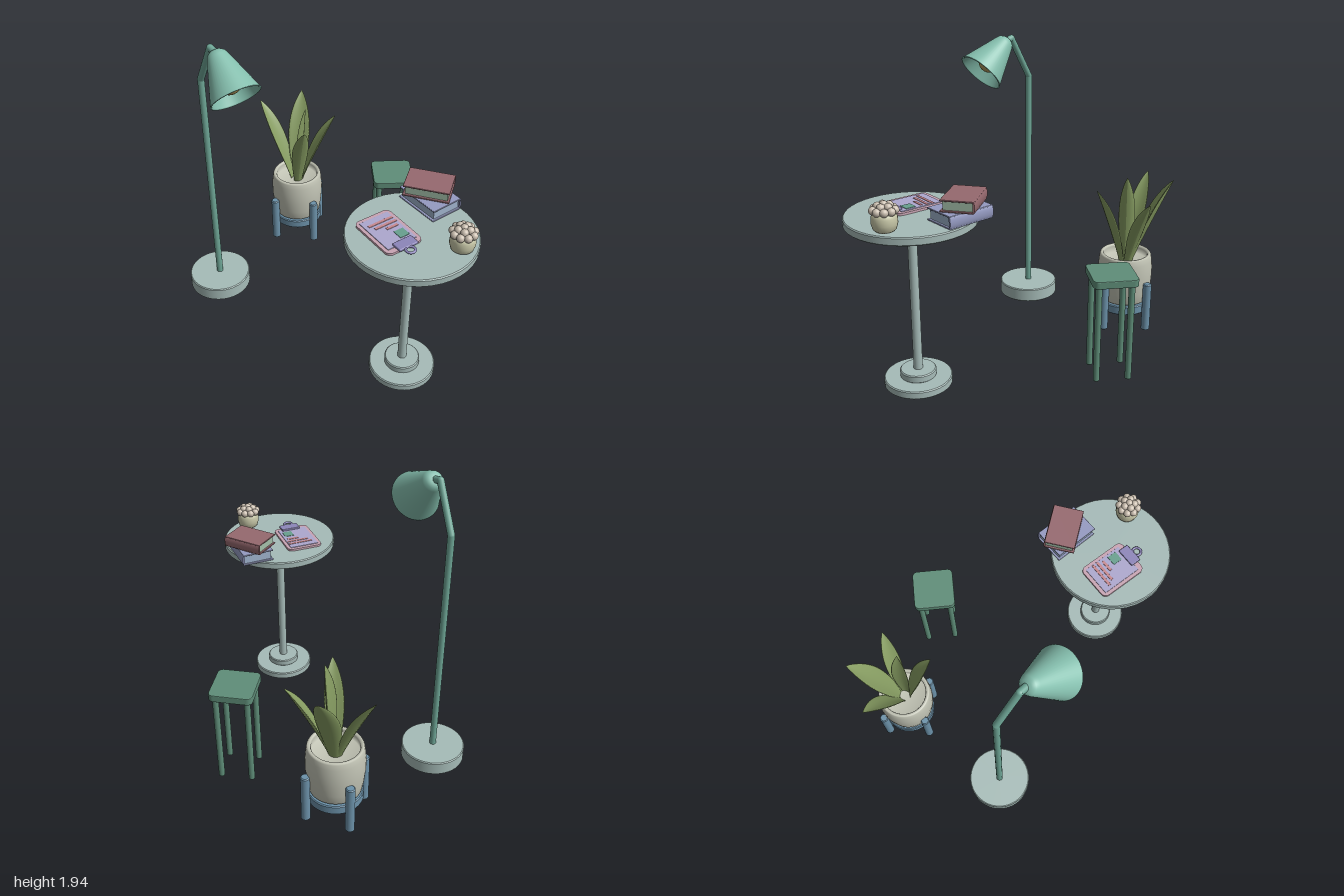
import * as THREE from 'three';
import { RoundedBoxGeometry } from 'three/addons/geometries/RoundedBoxGeometry.js';

const V = (x, y, z) => new THREE.Vector3(x, y, z);
const UP = V(0, 1, 0);

function add(parent, name, geometry, color, pos = [0, 0, 0], side = THREE.FrontSide) {
  const mesh = new THREE.Mesh(geometry, new THREE.MeshStandardMaterial({ color, side }));
  mesh.name = name;
  mesh.position.set(...pos);
  parent.add(mesh);
  return mesh;
}

function group(parent, name, x, y, z, turn = 0) {
  const g = new THREE.Group();
  g.name = name;
  g.position.set(x, y, z);
  g.rotation.y = turn;
  parent.add(g);
  return g;
}

// Upright disc or post from y0 to y1, with a slightly eased rim
function disc(parent, name, r, y0, y1, color, x = 0, z = 0) {
  const h = y1 - y0, b = Math.min(0.006, h / 4, r / 4);
  const pts = [[0, 0], [r - b, 0], [r - b, 0], [r, b], [r, b], [r, h - b], [r, h - b], [r - b, h], [r - b, h], [0, h]];
  return add(parent, name, lathe(pts, 40), color, [x, y0, z]);
}

function lathe(pts, sides = 40) {
  return new THREE.LatheGeometry(pts.map(p => new THREE.Vector2(...p)), sides);
}

// Round rod between two points
function rod(parent, name, a, b, r, color) {
  const m = add(parent, name, new THREE.CylinderGeometry(r, r, a.distanceTo(b), 20), color);
  m.position.copy(a).lerp(b, 0.5);
  m.quaternion.setFromUnitVectors(UP, b.clone().sub(a).normalize());
  return m;
}

function floorLamp(root) {
  const lamp = group(root, 'floorLamp', -0.757, 0, -0.018);
  const teal = 0x6fa797;
  disc(lamp, 'lampBase', 0.208, 0, 0.095, 0xa6bcb8);
  const elbow = V(0, 1.64, 0), top = V(0.108, 1.915, 0.115), neck = V(0.15, 1.9, 0.15), mouth = V(0.288, 1.712, 0.31);
  rod(lamp, 'lampPole', V(0, 0.09, 0), elbow, 0.022, teal);
  rod(lamp, 'lampArm', elbow, top, 0.022, teal);
  rod(lamp, 'lampNeck', top, neck, 0.022, teal);
  for (const p of [elbow, top]) add(lamp, 'lampJoint', new THREE.SphereGeometry(0.022, 20, 12), teal, p.toArray());

  // Shade: double-walled cone hung along the neck-to-mouth axis
  const axis = mouth.clone().sub(neck), len = axis.length();
  const shade = group(lamp, 'lampShade', ...neck.toArray());
  shade.quaternion.setFromUnitVectors(UP, axis.clone().normalize());
  const skin = [[0, -0.018], [0.035, -0.014], [0.055, 0.002], [0.066, 0.025], [0.154, len - 0.005], [0.157, len],
    [0.15, len + 0.002], [0.144, len - 0.005], [0.058, 0.035], [0, 0.025]];
  add(shade, 'shadeShell', lathe(skin, 48), 0x85bfae, [0, 0, 0], THREE.DoubleSide);
  add(shade, 'bulb', new THREE.SphereGeometry(0.072, 28, 18), 0xb09a5c, [0, 0.185, 0]);
  add(shade, 'bulbSocket', new THREE.CylinderGeometry(0.035, 0.035, 0.12, 20), 0x85bfae, [0, 0.08, 0]);
}

// Channelled leaf: a tube flattened, tapered and swept along a curve
function leaf(parent, base, tip, out, width) {
  const ctrl = base.clone().lerp(tip, 0.55).addScaledVector(out, -0.025).add(V(0, 0.04, 0));
  const curve = new THREE.QuadraticBezierCurve3(base, ctrl, tip);
  const across = UP.clone().cross(out).normalize();
  const geo = new THREE.CylinderGeometry(1, 1, 1, 16, 24, true);
  const p = geo.attributes.position;
  for (let i = 0; i < p.count; i++) {
    const t = p.getY(i) + 0.5;
    const w = 0.5 * width * Math.pow(Math.max(0, Math.sin(Math.PI * (0.14 + 0.86 * Math.pow(t, 1.25)))), 0.85);
    const normal = across.clone().cross(curve.getTangent(t)).normalize();
    const x = p.getX(i);
    const v = curve.getPoint(t).addScaledVector(across, x * w).addScaledVector(normal, w * (0.2 * p.getZ(i) - 0.35 * x * x));
    p.setXYZ(i, v.x, v.y, v.z);
  }
  geo.computeVertexNormals();
  add(parent, 'leaf', geo, 0x879d62, [0, 0, 0], THREE.DoubleSide);
}

function pottedPlant(root) {
  const plant = group(root, 'pottedPlant', -0.303, 0, -0.7);
  const blue = 0x6c92aa;
  disc(plant, 'standPlate', 0.176, 0.115, 0.178, blue);
  for (const sx of [-1, 1]) for (const sz of [-1, 1])
    disc(plant, 'standLeg', 0.029, 0, 0.34, blue, sx * 0.142, sz * 0.143);
  const pot = [[0, 0.178], [0.15, 0.178], [0.164, 0.19], [0.176, 0.26], [0.184, 0.34], [0.185, 0.41], [0.18, 0.47], [0.174, 0.505],
    [0.167, 0.515], [0.152, 0.513], [0.147, 0.5], [0.15, 0.455], [0, 0.455]];
  add(plant, 'pot', lathe(pot, 48), 0xc3c5b6, [0, 0, 0], THREE.DoubleSide);
  // Tip x, y, z and width of each leaf
  const tips = [[0, 1.035, -0.3, 0.155], [-0.285, 1.012, -0.16, 0.12], [0.27, 0.948, -0.12, 0.11],
    [0.095, 0.985, 0.215, 0.12], [0.075, 1.07, 0.015, 0.11]];
  for (const [x, y, z, w] of tips) {
    const out = V(x, 0, z).normalize();
    leaf(plant, out.clone().multiplyScalar(0.035).setY(0.44), V(x, y, z), out, w);
  }
}

function stool(root) {
  const g = group(root, 'stool', 0.405, 0, -0.556, 0.175);
  const green = 0x5f8e79;
  const s = new THREE.Shape(), h = 0.134, r = 0.03;
  s.moveTo(-h + r, -h);
  for (const [cx, cy, a] of [[1, -1, -0.5], [1, 1, 0], [-1, 1, 0.5], [-1, -1, 1]])
    s.absarc(cx * (h - r), cy * (h - r), r, a * Math.PI, (a + 0.5) * Math.PI, false);
  const seat = new THREE.ExtrudeGeometry(s, { depth: 0.038, bevelThickness: 0.005, bevelSize: 0.005, bevelSegments: 2, curveSegments: 6 });
  seat.rotateX(-Math.PI / 2);
  add(g, 'stoolSeat', seat, green, [0, 0.636, 0]);
  for (const sx of [-1, 1]) for (const sz of [-1, 1])
    disc(g, 'stoolLeg', 0.02, 0, 0.635, green, sx * 0.1, sz * 0.1);
}

// Book with two covers, recessed pages and a rounded spine at the back
function book(parent, name, x, y, z, turn, w, d, h, cover, pages) {
  const g = group(parent, name, x, y, z, turn);
  const t = 0.01;
  for (const cy of [t / 2, h - t / 2])
    add(g, 'bookCover', new RoundedBoxGeometry(w, t, d, 2, 0.004), cover, [0, cy, 0]);
  add(g, 'pages', new THREE.BoxGeometry(w - 0.025, h - 2 * t, d - 0.02), pages, [0, h / 2, -0.004]);
  const spine = new THREE.CylinderGeometry(h / 2, h / 2, w, 20, 1, false, Math.PI / 2, Math.PI);
  spine.rotateZ(Math.PI / 2);
  spine.rotateX(spineTurn(spine));
  spine.scale(1, 1, 0.35);
  add(g, 'bookSpine', spine, cover, [0, h / 2, -d / 2 + 0.008], THREE.DoubleSide);
}

// Angle that swings a half-round spine so its bulge faces -z
function spineTurn(geo) {
  geo.computeBoundingBox();
  const c = geo.boundingBox.getCenter(V(0, 0, 0));
  return Math.PI - Math.atan2(-c.y, c.z);
}

function clipboard(parent) {
  const g = group(parent, 'clipboard', -0.133, 1.1, 0.015, -0.85);
  const flat = (name, l, w, h, color, x, y, z, r = h * 0.3) =>
    add(g, name, new RoundedBoxGeometry(l, h, w, 2, r), color, [x, y + h / 2, z]);
  const s = new THREE.Shape(), a = 0.164, b = 0.122, r = 0.035;
  s.moveTo(-a + r, -b);
  for (const [cx, cy, q] of [[1, -1, -0.5], [1, 1, 0], [-1, 1, 0.5], [-1, -1, 1]])
    s.absarc(cx * (a - r), cy * (b - r), r, q * Math.PI, (q + 0.5) * Math.PI, false);
  const board = new THREE.ExtrudeGeometry(s, { depth: 0.014, bevelEnabled: false, curveSegments: 8 });
  board.rotateX(-Math.PI / 2);
  add(g, 'board', board, 0xc9a5b4);
  flat('paper', 0.27, 0.2, 0.005, 0xada8cf, -0.005, 0.013, 0);
  for (const [x, z, l] of [[-0.085, -0.01, 0.17], [-0.05, -0.02, 0.15], [-0.015, -0.04, 0.08]])
    flat('paperBar', 0.018, l, 0.004, 0xc98a90, x, 0.017, z);
  flat('paperPatch', 0.065, 0.065, 0.004, 0x68a08f, 0.058, 0.017, -0.05);
  flat('clip', 0.07, 0.13, 0.018, 0x8d86ba, 0.145, 0.014, -0.008);
  const ring = new THREE.TorusGeometry(0.027, 0.008, 12, 28);
  ring.rotateX(Math.PI / 2);
  add(g, 'clipRing', ring, 0x8d86ba, [0.2, 0.022, 0]);
}

function smallPlant(parent) {
  const g = group(parent, 'smallPlant', 0.278, 1.1, 0.094);
  const pot = [[0, 0], [0.052, 0], [0.065, 0.012], [0.074, 0.045], [0.072, 0.08], [0.064, 0.1], [0.056, 0.102], [0.054, 0.088], [0, 0.088]];
  add(g, 'smallPot', lathe(pot, 32), 0xc8c8a8, [0, 0, 0], THREE.DoubleSide);
  // Rings of round buds: count, ring radius, height, bud radius
  for (const [n, ring, y, r] of [[9, 0.06, 0.118, 0.024], [5, 0.034, 0.138, 0.024], [1, 0, 0.147, 0.023]])
    for (let i = 0; i < n; i++) {
      const a = (i / n) * Math.PI * 2 + ring * 8;
      add(g, 'bud', new THREE.SphereGeometry(r, 16, 12), 0xcbbfb0, [Math.cos(a) * ring, y, Math.sin(a) * ring]);
    }
}

function table(root) {
  const g = group(root, 'sideTable', 0.569, 0, 0.612);
  const grey = 0xa6bbb8;
  disc(g, 'tableFoot', 0.208, 0, 0.05, grey);
  disc(g, 'tableFootStep', 0.11, 0.048, 0.096, grey);
  disc(g, 'tablePole', 0.028, 0.09, 1.055, grey);
  disc(g, 'tableTop', 0.386, 1.05, 1.1, grey);
  book(g, 'lowerBook', 0.088, 1.1, -0.292, -0.81, 0.3, 0.21, 0.078, 0x959bc2, 0x9fb3cd);
  book(g, 'upperBook', 0.08, 1.178, -0.312, -0.175, 0.275, 0.195, 0.072, 0x96696f, 0xa3bfa9);
  clipboard(g);
  smallPlant(g);
}

export function createModel() {
  const root = new THREE.Group();
  root.name = 'cornerFurniture';
  floorLamp(root);
  pottedPlant(root);
  stool(root);
  table(root);
  return root;
}
